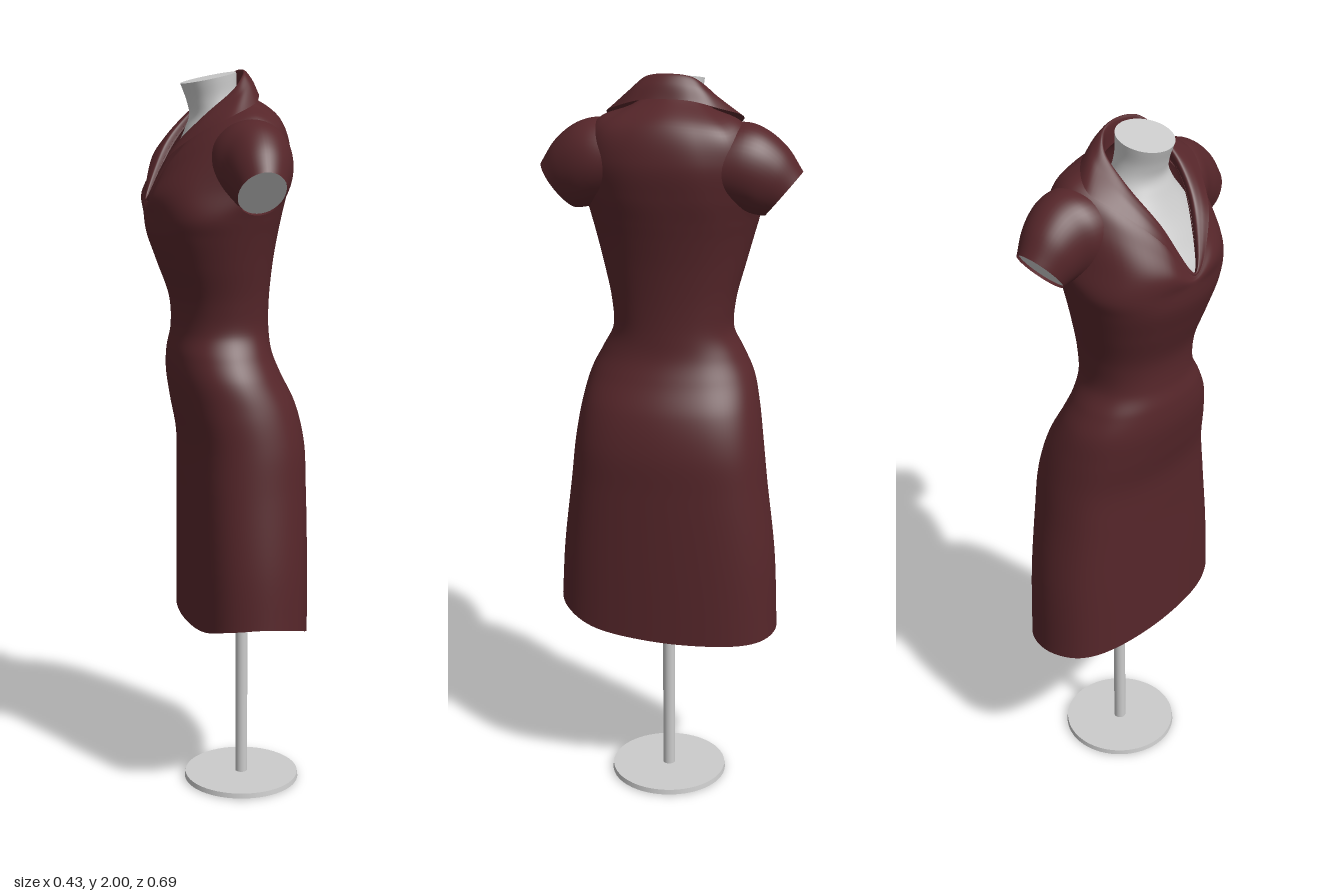
import * as THREE from 'three';

const N = 12; // control points per ring, starting at the wearer's front (-x)
const V = (x, y, z) => new THREE.Vector3(x, y, z);
const power = (v, p) => Math.sign(v) * Math.abs(v) ** p;

// Horizontal superellipse ring; tilt raises its back and lowers its front
function ring(y, front, back, halfWidth, n = 2.2, tilt = 0) {
  const cx = (front + back) / 2, rx = (back - front) / 2;
  return Array.from({ length: N }, (_, i) => {
    const a = (i / N) * Math.PI * 2, c = power(Math.cos(a), 2 / n), s = power(Math.sin(a), 2 / n);
    return V(cx - rx * c, y - tilt * c, halfWidth * s);
  });
}

// Ring from seven points running front to back, mirrored across z
function mirrored(half) {
  const pts = half.map((p) => V(...p));
  return [...pts, ...pts.slice(1, -1).reverse().map((p) => V(p.x, p.y, -p.z))];
}

// Smooth skin through a series of closed rings
function loft(rings, nu = 72, nv = 60) {
  const loops = rings.map((r) => new THREE.CatmullRomCurve3(r, true, 'catmullrom', 0.5));
  const pos = [], idx = [];
  for (let i = 0; i < nu; i++) {
    const column = new THREE.CatmullRomCurve3(loops.map((l) => l.getPoint(i / nu)));
    for (let j = 0; j <= nv; j++) pos.push(...column.getPoint(j / nv).toArray());
  }
  const at = (i, j) => (i % nu) * (nv + 1) + j;
  for (let i = 0; i < nu; i++) {
    for (let j = 0; j < nv; j++) {
      idx.push(at(i, j), at(i + 1, j), at(i + 1, j + 1), at(i, j), at(i + 1, j + 1), at(i, j + 1));
    }
  }
  const g = new THREE.BufferGeometry();
  g.setAttribute('position', new THREE.Float32BufferAttribute(pos, 3));
  g.setIndex(idx);
  g.computeVertexNormals();
  return g;
}

// Flat lid over a ring
function lid(r) {
  const c = r.reduce((s, p) => s.add(p), V(0, 0, 0)).divideScalar(r.length);
  return loft([r, r.map(() => c.clone())], 72, 1);
}

export function createModel() {
  const group = new THREE.Group();
  const cloth = new THREE.MeshStandardMaterial({ color: 0x56262a, side: THREE.DoubleSide });
  const grey = new THREE.MeshStandardMaterial({ color: 0xcccccc, side: THREE.DoubleSide });
  const add = (name, geometry, material) => {
    const m = new THREE.Mesh(geometry, material);
    m.name = name;
    group.add(m);
    return m;
  };

  // Dress: uneven hem, skirt, waist, bust, then rings climbing to the V neckline
  const hem = ring(0.49, -0.12, 0.21, 0.305, 2.5);
  hem.forEach((p, i) => {
    const a = (i / N) * Math.PI * 2;
    p.y += 0.01 * Math.cos(a) + 0.06 * Math.max(0, Math.sin(a)) ** 2 - 0.012 * Math.max(0, -Math.sin(a));
  });
  const lower = [
    [0.7, -0.12, 0.21, 0.295, 2.5], [0.9, -0.12, 0.208, 0.271, 2.5], [1.02, -0.124, 0.205, 0.258, 2.4],
    [1.12, -0.143, 0.183, 0.243, 2.3], [1.2, -0.155, 0.145, 0.223], [1.26, -0.154, 0.122, 0.193],
    [1.32, -0.144, 0.115, 0.164], [1.4, -0.147, 0.115, 0.168], [1.5, -0.181, 0.124, 0.192],
    [1.58, -0.208, 0.137, 0.213], [1.63, -0.214, 0.147, 0.226],
  ].map((r) => ring(...r));
  const upper = [
    [[-0.214, 1.645, 0], [-0.206, 1.68, 0.09], [-0.135, 1.7, 0.18], [0.02, 1.71, 0.236],
      [0.09, 1.7, 0.2], [0.145, 1.7, 0.11], [0.16, 1.7, 0]],
    [[-0.212, 1.65, 0], [-0.188, 1.725, 0.078], [-0.1, 1.79, 0.165], [0.03, 1.815, 0.23],
      [0.11, 1.79, 0.19], [0.155, 1.79, 0.1], [0.167, 1.79, 0]],
    [[-0.21, 1.655, 0], [-0.165, 1.765, 0.072], [-0.07, 1.845, 0.15], [0.03, 1.883, 0.185],
      [0.105, 1.867, 0.16], [0.13, 1.877, 0.08], [0.138, 1.882, 0]],
    [[-0.208, 1.66, 0], [-0.14, 1.79, 0.06], [-0.07, 1.87, 0.09], [0, 1.91, 0.098],
      [0.035, 1.93, 0.08], [0.045, 1.94, 0.045], [0.05, 1.945, 0]],
  ].map(mirrored);
  add('dress', loft([hem, ...lower, ...upper], 96, 120), cloth);

  // Collar: outer edge, up over the fold and down into the neckline
  add('collar', loft([
    [[-0.215, 1.66, 0], [-0.178, 1.772, 0.088], [-0.105, 1.842, 0.145], [-0.025, 1.887, 0.182],
      [0.05, 1.917, 0.13], [0.077, 1.937, 0.065], [0.083, 1.941, 0]],
    [[-0.215, 1.664, 0], [-0.166, 1.788, 0.074], [-0.09, 1.872, 0.118], [-0.005, 1.928, 0.128],
      [0.042, 1.962, 0.095], [0.06, 1.976, 0.053], [0.067, 1.98, 0]],
    [[-0.213, 1.667, 0], [-0.151, 1.8, 0.062], [-0.076, 1.885, 0.093], [-0.002, 1.948, 0.094],
      [0.03, 1.984, 0.07], [0.042, 1.997, 0.04], [0.047, 2, 0]],
    [[-0.206, 1.66, 0], [-0.138, 1.785, 0.06], [-0.07, 1.865, 0.09], [-0.002, 1.905, 0.092],
      [0.027, 1.93, 0.072], [0.036, 1.94, 0.04], [0.04, 1.945, 0]],
  ].map(mirrored), 96, 24), cloth);

  // Cap sleeves, each with an arm stub closing the opening
  // Ring: top z, top y, bottom z, bottom y, front x, back x
  const sleeve = [
    [0.12, 1.87, 0.14, 1.67, -0.085, 0.135], [0.2, 1.881, 0.195, 1.655, -0.075, 0.133],
    [0.25, 1.866, 0.225, 1.648, -0.056, 0.125], [0.305, 1.822, 0.241, 1.645, -0.045, 0.11],
    [0.346, 1.76, 0.25, 1.644, -0.034, 0.092],
  ];
  for (const side of [1, -1]) {
    const rings = sleeve.map(([tz, ty, bz, by, x0, x1]) => Array.from({ length: N }, (_, i) => {
      const a = (i / N) * Math.PI * 2, k = (1 + Math.cos(a)) / 2;
      return V((x0 + x1) / 2 - (side * Math.sin(a) * (x1 - x0)) / 2,
        THREE.MathUtils.lerp(by, ty, k), side * THREE.MathUtils.lerp(bz, tz, k));
    }));
    const label = side > 0 ? 'PlusZ' : 'MinusZ';
    add('sleeve' + label, loft(rings, 48, 24), cloth);
    const stub = rings[4].map((p) => V(p.x, p.y + 0.004, p.z - side * 0.006));
    add('armStub' + label, lid(stub), grey);
  }

  // Mannequin chest and neck inside the neckline
  const bust = [
    [1.5, -0.165, 0.11, 0.175], [1.58, -0.193, 0.12, 0.19], [1.645, -0.203, 0.13, 0.19, 2],
    [1.72, -0.167, 0.12, 0.17, 2], [1.79, -0.13, 0.11, 0.145, 2], [1.85, -0.104, 0.075, 0.1, 2],
    [1.89, -0.093, 0.042, 0.078, 2, 0.005], [1.93, -0.1, 0.032, 0.07, 2, 0.01],
    [1.98, -0.117, 0.03, 0.074, 2, 0.015],
  ].map((r) => ring(...r));
  add('mannequinBust', loft(bust, 64, 48), grey);
  add('neckTop', lid(bust[bust.length - 1]), grey);

  // Stand
  const pole = add('pole', new THREE.CylinderGeometry(0.017, 0.017, 1.3, 24), grey);
  pole.position.set(0.05, 0.65, 0);
  const base = add('base', new THREE.CylinderGeometry(0.161, 0.163, 0.014, 64), grey);
  base.position.set(0.05, 0.01, 0);
  return group;
}
